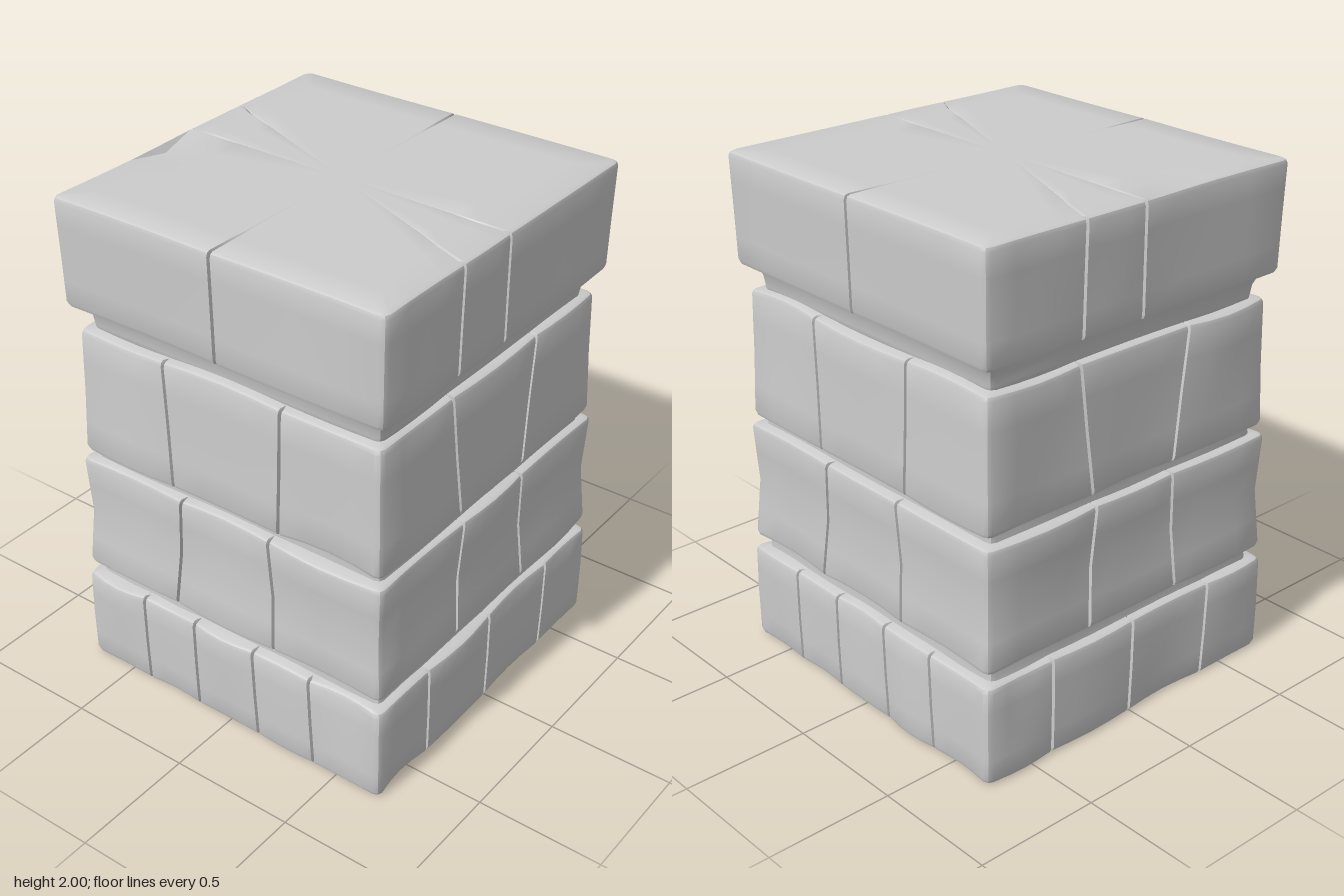
import * as THREE from 'three';
import { toCreasedNormals } from 'three/addons/utils/BufferGeometryUtils.js';

const lerp = THREE.MathUtils.lerp;

function seeded(seed) {
  let s = seed;
  return () => {
    s = (s * 16807) % 2147483647;
    return (s / 2147483647) * 2 - 1;
  };
}

// Local face frame (u along the face, d outwards) to plan x, z.
const FACES = [
  (u, d) => [u, d], // front
  (u, d) => [d, -u], // right-hand side
  (u, d) => [-u, -d], // back
  (u, d) => [-d, u], // left-hand side
];

// Half width at height t from [bottom, middle, top].
const widthAt = (w, t) => (t < 0.5 ? lerp(w[0], w[1], t * 2) : lerp(w[1], w[2], t * 2 - 1));

// A square ring of stones: plan outlines lofted upwards, with a V notch at each joint.
function courseGeometry({ y0, y1, w, depth = 0.01, joints, seed = 1, wobble = 0, lift = 0, drop = 0, dip = 0, chip = 0 }) {
  const rand = seeded(seed * 7919);
  const R = 0.025;
  const H = y1 - y0;

  // Sample points around the perimeter, each with its own stone's irregularity.
  const samples = [];
  joints.forEach((list, face) => {
    const count = list.length + 1;
    samples.push({ face, end: -1 });
    for (let s = 0; s < count; s++) {
      const bulge = rand() * wobble;
      const tilt = rand() * wobble;
      const rise = rand() * lift;
      const sag = rand() * drop;
      const from = s ? list[s - 1] : null;
      const to = s < count - 1 ? list[s] : null;
      for (const f of [0, 0.25, 0.5, 0.75, 1]) {
        const arch = Math.sin(f * Math.PI);
        samples.push({
          face, from, to, f, out: bulge * arch, tilt: tilt * arch, rise: rise * arch, sag: sag * arch,
          chip: face === 2 && s === count - 1 && f === 0.25 ? chip : 0,
        });
      }
      if (to) samples.push({ face, joint: to });
    }
    samples.push({ face, end: 1 });
  });

  // Levels: underside, rounded lower edge, wall, rounded upper edge, top.
  const levels = [
    { y: y0, e: 0.02, k: 0 }, { y: y0, e: 0.02, k: 0.8 }, { y: y0, e: 0.016, k: 1 },
    { y: y0 + 0.006, e: 0.005, k: 1 }, { y: y0 + 0.02, e: 0, k: 1 },
    ...[0.25, 0.5, 0.75].map((t) => ({ y: y0 + H * t, e: 0, k: 1 })),
    { y: y1 - 0.02, e: 0, k: 1 }, { y: y1 - 0.006, e: 0.005, k: 1 },
    { y: y1, e: 0.016, k: 1, cap: 1 }, { y: y1, e: 0.02, k: 0.84, cap: 0.4 },
    { y: y1, e: 0.02, k: 0.7, cap: 0.1 }, { y: y1, e: 0.02, k: 0 },
  ];

  const point = (p, { y, e, k, cap = 0 }) => {
    const t = (y - y0) / H;
    const hx = widthAt(w, t) - e;
    const hz = hx - depth;
    const [a, b] = p.face % 2 ? [hz, hx] : [hx, hz];
    let u, d, py = y;
    if (p.end) {
      u = p.end * (a - R * 0.29);
      d = b - R * 0.29;
    } else if (p.joint) {
      u = lerp(...p.joint, t);
      d = b - (k < 1 ? 0 : 0.04);
      py -= dip * cap;
    } else {
      const u0 = p.from ? lerp(...p.from, t) + 0.007 : -a + R;
      const u1 = p.to ? lerp(...p.to, t) - 0.007 : a - R;
      u = lerp(u0, u1, p.f);
      d = b + p.out + p.tilt * (2 * t - 1);
      py += k ? p.rise * t * t + p.sag * (1 - t) * (1 - t) : 0;
      if (cap > 0.5) {
        py -= p.chip;
        d -= p.chip * 0.4;
      }
    }
    const [x, z] = FACES[p.face](u, d);
    return [x * k, py, z * k];
  };

  const n = samples.length;
  const pos = [];
  const index = [];
  levels.forEach((lv) => samples.forEach((p) => pos.push(...point(p, lv))));
  for (let l = 0; l < levels.length - 1; l++) {
    for (let i = 0; i < n; i++) {
      const a = l * n + i, b = l * n + ((i + 1) % n);
      if (levels[l].k) index.push(a, b, b + n);
      if (levels[l + 1].k) index.push(a, b + n, a + n);
      if (!levels[l].k) continue;
    }
  }
  const g = new THREE.BufferGeometry();
  g.setAttribute('position', new THREE.Float32BufferAttribute(pos, 3));
  g.setIndex(index);
  return toCreasedNormals(g, 0.6);
}

export function createModel() {
  const group = new THREE.Group();
  group.name = 'stonePillar';
  const stone = new THREE.MeshStandardMaterial({ color: 0xcccccc });
  stone.name = 'pale grey stone';

  const add = (name, spec) => {
    const mesh = new THREE.Mesh(courseGeometry(spec), stone);
    mesh.name = name;
    group.add(mesh);
  };
  // Opposite faces share a joint layout; each joint is [u at bottom, u at top].
  const pairs = (wide, side) => [wide, side, wide, side];

  // Stone courses from the ground up
  add('baseCourse', {
    y0: 0, y1: 0.395, w: [0.708, 0.71, 0.708], seed: 3, wobble: 0.01, lift: 0.006,
    joints: pairs(
      [[-0.4, -0.4], [-0.01, 0], [0.38, 0.4]],
      [[-0.4, -0.41], [-0.15, -0.16], [0.14, 0.12], [0.4, 0.38]],
    ),
  });
  add('lowerCourse', {
    y0: 0.445, y1: 0.928, w: [0.704, 0.686, 0.698], seed: 5, wobble: 0.01, lift: 0.006, drop: 0.008,
    joints: pairs([[-0.22, -0.19], [0.22, 0.19]], [[-0.24, -0.2], [0.22, 0.2]]),
  });
  add('upperCourse', {
    y0: 0.962, y1: 1.475, w: [0.688, 0.68, 0.676], seed: 8, wobble: 0.01, lift: 0.01, drop: 0.006,
    joints: pairs([[-0.2, -0.26], [0.2, 0.27]], [[-0.24, -0.27], [0.24, 0.25]]),
  });
  add('capCourse', {
    y0: 1.57, y1: 2, w: [0.706, 0.71, 0.715], seed: 11, wobble: 0.006, dip: 0.02, chip: 0.03,
    joints: pairs([[-0.28, -0.28], [0, -0.01]], [[0, 0]]),
  });

  // Recessed mortar beds between the courses
  const plain = [[], [], [], []];
  add('lowerMortar', { y0: 0.36, y1: 0.48, w: [0.665, 0.66, 0.665], depth: 0, joints: plain });
  add('middleMortar', { y0: 0.9, y1: 0.99, w: [0.655, 0.65, 0.655], depth: 0, joints: plain });
  add('upperMortar', { y0: 1.45, y1: 1.6, w: [0.63, 0.64, 0.67], depth: 0, joints: plain });

  return group;
}
